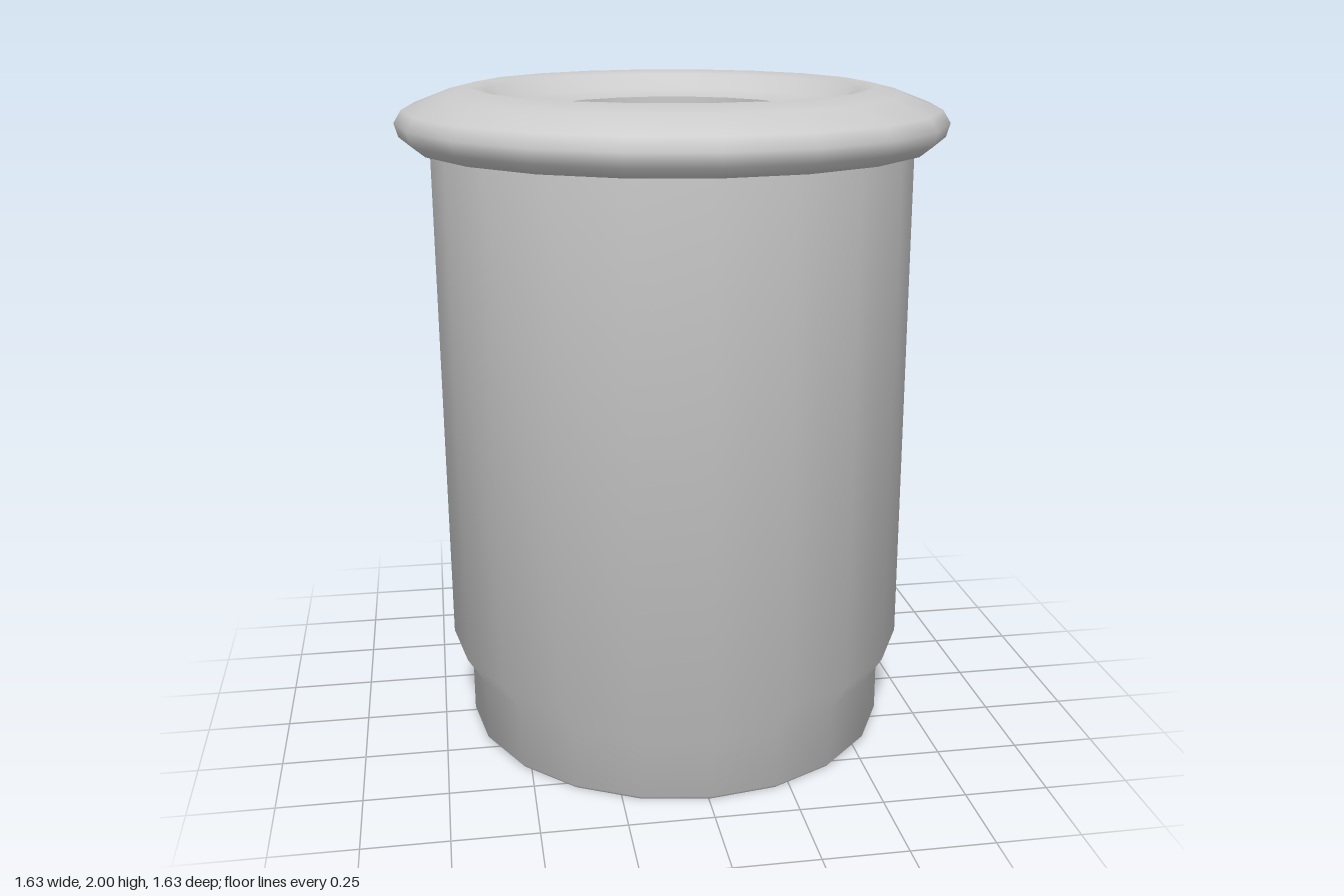
import * as THREE from 'three';
import { toCreasedNormals } from 'three/addons/utils/BufferGeometryUtils.js';

const SIDES = 20;
const LEAN = 0.005; // the cup leans very slightly towards -x at the top

// Turned part from a [radius, height] profile
function turned(name, profile, crease = 0.75) {
  const points = profile.map(([r, y]) => new THREE.Vector2(r, y));
  const geometry = new THREE.LatheGeometry(points, SIDES);
  const pos = geometry.attributes.position;
  for (let i = 0; i < pos.count; i++) {
    pos.setX(i, pos.getX(i) + LEAN * (1 - pos.getY(i)));
  }
  const mesh = new THREE.Mesh(
    toCreasedNormals(geometry, crease),
    new THREE.MeshStandardMaterial({ color: 0xcccccc })
  );
  mesh.name = name;
  return mesh;
}

export function createModel() {
  const group = new THREE.Group();
  group.name = 'cup';

  // Closed foot, short chamfer and straight outer wall
  group.add(turned('body', [
    [0, 0], [0.65, 0], [0.66, 0.012], [0.66, 0.2], [0.715, 0.29], [0.715, 1.83],
  ]));

  // Overhanging rounded rim, stepping down to a ledge around the mouth
  group.add(turned('rim', [
    [0.715, 1.83], [0.765, 1.83], [0.803, 1.86], [0.815, 1.9], [0.792, 1.937],
    [0.68, 1.98], [0.6, 2], [0.545, 1.99], [0.505, 1.945], [0.385, 1.93],
  ], 1.0));

  // Straight inner wall and floor
  group.add(turned('cavity', [
    [0.385, 1.93], [0.385, 0.2], [0, 0.2],
  ]));

  return group;
}
